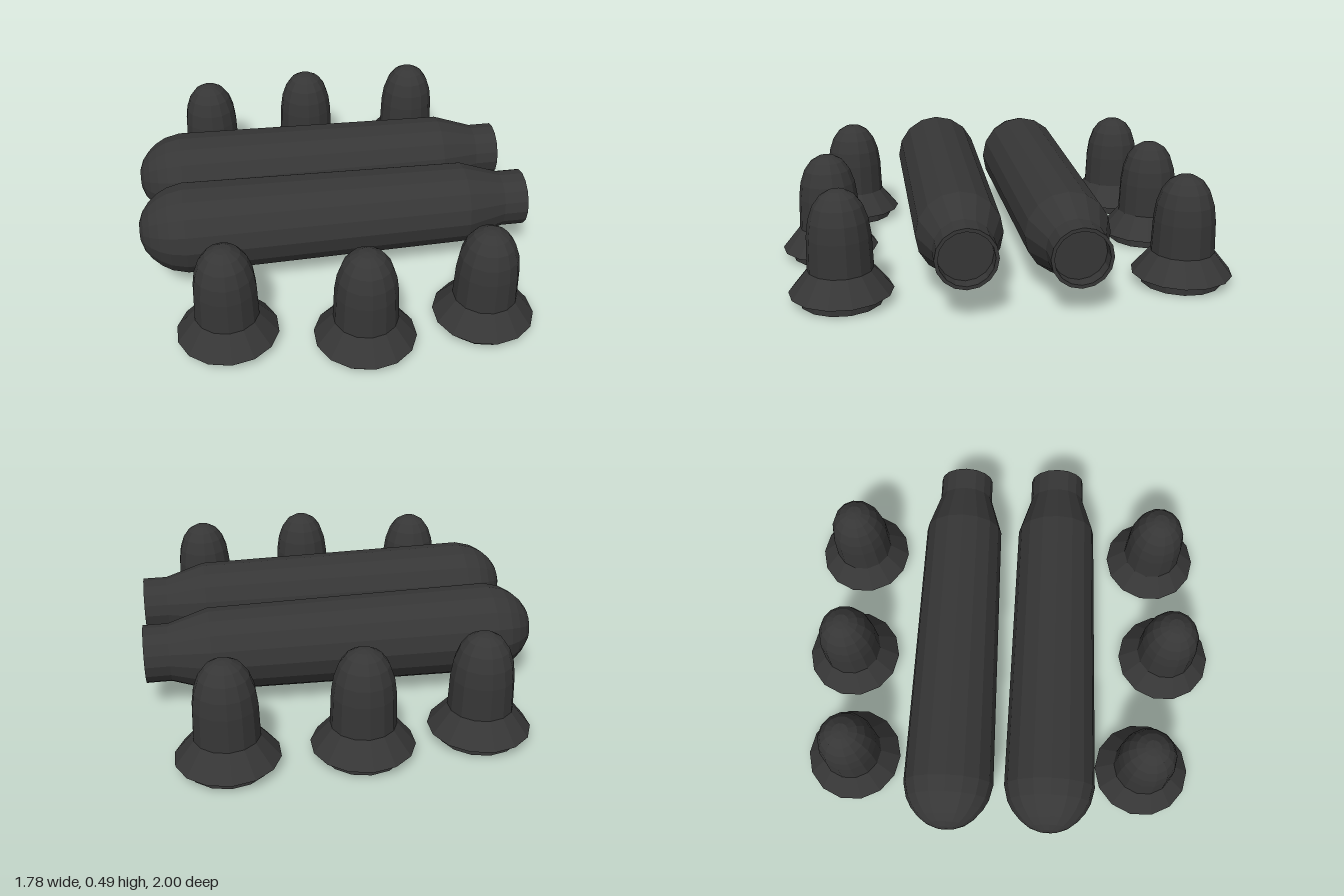
import * as THREE from 'three';

const material = new THREE.MeshStandardMaterial({ color: 0x363636, flatShading: true, side: THREE.DoubleSide });

// Revolve a list of [radius, height] pairs around y
function turned(profile, sides) {
  return new THREE.LatheGeometry(profile.map(([r, h]) => new THREE.Vector2(r, h)), sides);
}

export function createModel() {
  const model = new THREE.Group();

  // Long cylinders: round end, slight taper, shoulder, neck with recessed mouth
  const cylinderGeometry = turned([
    [0, -0.895], [0.045, -0.892], [0.09, -0.875], [0.13, -0.845], [0.165, -0.805],
    [0.19, -0.76], [0.207, -0.69], [0.187, 0.6], [0.13, 0.78], [0.13, 0.89],
    [0.115, 0.89], [0.115, 0.83], [0, 0.83],
  ], 16);
  cylinderGeometry.rotateZ(-Math.PI / 2);
  [[0.277, 0.2125], [0.257, -0.251]].forEach(([y, z], i) => {
    const cylinder = new THREE.Mesh(cylinderGeometry, material);
    cylinder.name = i ? 'backCylinder' : 'frontCylinder';
    cylinder.position.set(0, y, z);
    model.add(cylinder);
  });

  // Domed caps: base ring, flared skirt, body and dome, hollow from below
  const capGeometry = turned([
    [0, 0.465], [0.06, 0.45], [0.1, 0.4], [0.12, 0.3], [0.122, 0.13], [0.15, 0.06], [0.15, 0],
    [0.178, 0], [0.178, 0.045], [0.222, 0.045], [0.14, 0.145], [0.135, 0.29],
    [0.125, 0.36], [0.104, 0.42], [0.075, 0.46], [0.037, 0.483], [0, 0.488],
  ], 14);
  const capPlaces = [
    [-0.54, 0.66], [0.04, 0.775], [0.58, 0.713],
    [-0.52, -0.73], [0, -0.78], [0.565, -0.775],
  ];
  capPlaces.forEach(([x, z], i) => {
    const cap = new THREE.Mesh(capGeometry, material);
    cap.name = `${i < 3 ? 'front' : 'back'}Cap${(i % 3) + 1}`;
    cap.position.set(x, 0, z);
    model.add(cap);
  });

  return model;
}
